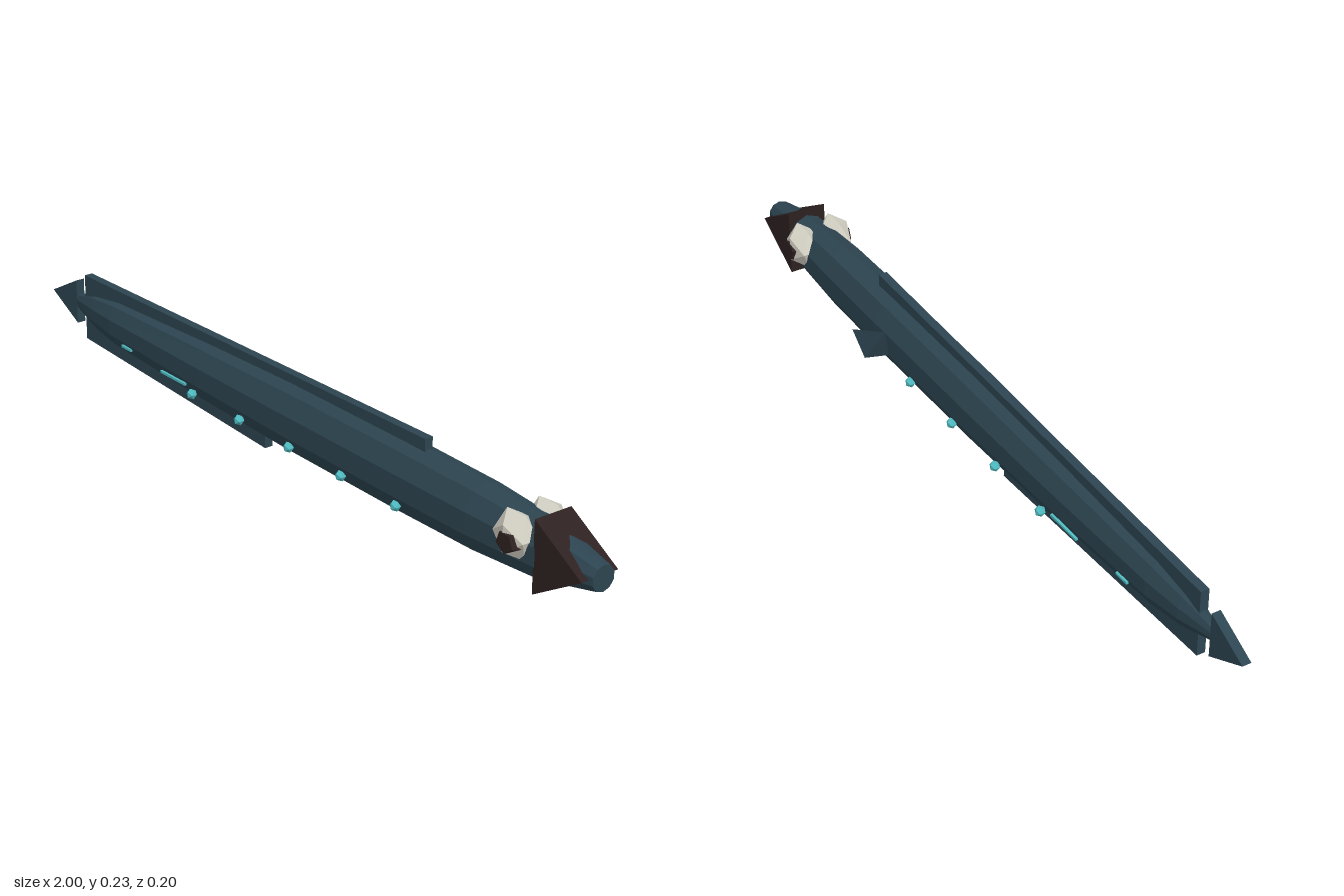
import * as THREE from 'three';

const MID_Y = 0.12, MID_Z = 0.021;

function makeMaterial(name, color, extra = {}) {
  const m = new THREE.MeshStandardMaterial({ color, flatShading: true, ...extra });
  m.name = name;
  return m;
}

// Prism: side outline in x,y extruded evenly about the body's centre plane
function slab(points, thickness) {
  const shape = new THREE.Shape(points.map(([x, y]) => new THREE.Vector2(x, y)));
  const g = new THREE.ExtrudeGeometry(shape, { depth: thickness, bevelEnabled: false });
  return g.translate(0, 0, MID_Z - thickness / 2);
}

// Ten-sided tapering tube built from [x, half height, half width] sections
function bodyGeometry(sections) {
  const sides = 10, pos = [], index = [];
  for (const [x, ry, rz] of sections) {
    for (let i = 0; i < sides; i++) {
      const a = (i / sides) * Math.PI * 2;
      pos.push(x, MID_Y + Math.cos(a) * ry, MID_Z + Math.sin(a) * rz);
    }
  }
  for (let s = 0; s < sections.length - 1; s++) {
    for (let i = 0; i < sides; i++) {
      const j = (i + 1) % sides, a = s * sides, b = a + sides;
      index.push(a + i, a + j, b + i, a + j, b + j, b + i);
    }
  }
  // End caps
  const last = (sections.length - 1) * sides;
  for (let i = 1; i < sides - 1; i++) {
    index.push(0, i + 1, i, last, last + i, last + i + 1);
  }
  const g = new THREE.BufferGeometry();
  g.setAttribute('position', new THREE.Float32BufferAttribute(pos, 3));
  g.setIndex(index);
  const flat = g.toNonIndexed();
  flat.computeVertexNormals();
  return flat;
}

export function createModel() {
  const model = new THREE.Group();
  model.name = 'eel';
  const skin = makeMaterial('skin', 0x2d4551, { side: THREE.DoubleSide });
  const mouth = makeMaterial('mouth', 0x2e2121);
  const eyeWhite = makeMaterial('eyeWhite', 0xd6d3c6);
  const glow = makeMaterial('glow', 0x4fbcc2);

  const add = (name, geometry, material, x = 0, y = 0, z = 0) => {
    const mesh = new THREE.Mesh(geometry, material);
    mesh.name = name;
    mesh.position.set(x, y, z);
    model.add(mesh);
    return mesh;
  };

  // Long body and blunt snout
  add('body', bodyGeometry([
    [-0.89, 0.02, 0.012], [-0.8, 0.046, 0.031], [-0.7, 0.06, 0.043],
    [-0.3, 0.076, 0.057], [0, 0.084, 0.062], [0.4, 0.085, 0.063],
    [0.65, 0.082, 0.061], [0.85, 0.068, 0.052], [1, 0.03, 0.03],
  ]), skin);

  // Wedge-shaped jaws
  add('jaws', slab([[0.85, 0.037], [0.99, 0.121], [0.85, 0.205]], 0.098), mouth);

  // Fins and tail
  add('dorsalFin', slab([[-0.85, 0.125], [0.465, 0.15], [0.465, 0.23], [-0.85, 0.203]], 0.021), skin);
  add('bellyFin', slab([[-0.85, 0.035], [-0.1, 0.004], [-0.1, 0.09], [-0.85, 0.115]], 0.021), skin);
  add('tailFin', slab([[-1, 0.12], [-0.89, 0.064], [-0.89, 0.177]], 0.022), skin);

  // Pointed side fin
  const fin = new THREE.BufferGeometry();
  const A = [0.47, 0.097, -0.062], B = [0.31, 0.18, -0.061];
  const C = [0.34, 0.105, -0.1], D = [0.34, 0.09, -0.035];
  fin.setAttribute('position', new THREE.Float32BufferAttribute(
    [A, C, B, A, D, C, B, C, D, A, B, D].flat(2), 3));
  fin.computeVertexNormals();
  add('sideFin', fin, skin);

  for (const side of [1, -1]) {
    const name = side > 0 ? 'front' : 'back';

    // Faceted eyes with five-sided pupils
    const eye = add(name + 'Eye', new THREE.IcosahedronGeometry(1, 0), eyeWhite,
      0.79, 0.147, MID_Z + side * 0.043);
    eye.scale.set(0.054, 0.058, 0.042);
    const pupil = add(name + 'Pupil',
      new THREE.CylinderGeometry(0.026, 0.034, 0.026, 5).rotateX(side * Math.PI / 2),
      mouth, 0.797, 0.141, MID_Z + side * 0.068);
    pupil.scale.y = 0.9;

    // Row of light spots along the flank
    for (let i = 0; i < 5; i++) {
      add(name + 'LightSpot', new THREE.IcosahedronGeometry(0.013, 0), glow,
        -0.325 + i * 0.188, 0.074, MID_Z + side * 0.057);
    }

    // Thin glowing streaks toward the tail
    add(name + 'LongStreak', new THREE.BoxGeometry(0.1, 0.006, 0.006), glow,
      -0.41, 0.085, MID_Z + side * 0.0505);
    add(name + 'ShortStreak', new THREE.BoxGeometry(0.04, 0.006, 0.006), glow,
      -0.62, 0.09, MID_Z + side * 0.042);
  }

  return model;
}
